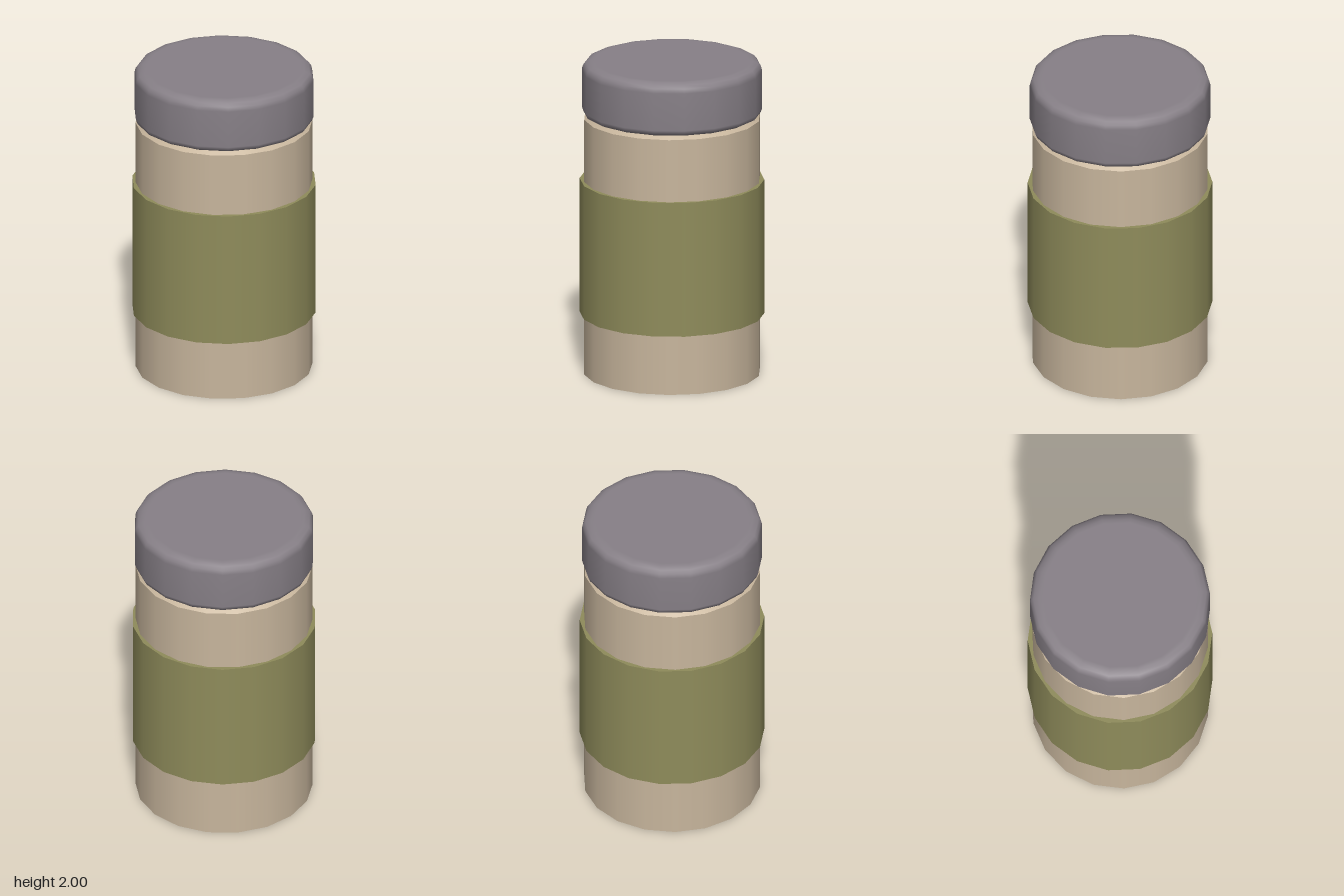
import * as THREE from 'three';
import { mergeGeometries } from 'three/addons/utils/BufferGeometryUtils.js';

const SIDES = 18;

// Lathe several profile runs; normals are smooth within a run, sharp between runs
function turned(name, material, phiStart, runs) {
  const parts = runs.map((run) => new THREE.LatheGeometry(
    run.map(([r, y]) => new THREE.Vector2(r, y)), SIDES, phiStart));
  const mesh = new THREE.Mesh(mergeGeometries(parts), material);
  mesh.name = name;
  return mesh;
}

function paint(name, color) {
  const material = new THREE.MeshStandardMaterial({ color });
  material.name = name;
  return material;
}

export function createModel() {
  const group = new THREE.Group();
  group.name = 'lidded jar';
  const tan = paint('tan', 0xc8b69d);
  const olive = paint('olive', 0x8f8c5b);
  const grey = paint('grey', 0x878087);

  // Body: flat base, straight wall, chamfered shoulder, top hidden by the lid
  group.add(turned('body', tan, Math.PI / 2, [
    [[0, 0], [0.55, 0]],
    [[0.55, 0], [0.55, 1.64]],
    [[0.55, 1.64], [0.52, 1.665]],
    [[0.52, 1.665], [0, 1.665]],
  ]));

  // Sleeve: band standing slightly proud of the body
  group.add(turned('sleeve', olive, 0, [
    [[0.53, 0.38], [0.573, 0.38]],
    [[0.573, 0.38], [0.573, 1.24]],
    [[0.573, 1.24], [0.53, 1.24]],
  ]));

  // Lid: rounded at the top and bottom rims
  group.add(turned('lid', grey, 0, [
    [[0, 1.663], [0.53, 1.663]],
    [[0.53, 1.663], [0.55, 1.673], [0.56, 1.7], [0.56, 1.94],
      [0.553, 1.968], [0.537, 1.988], [0.505, 2], [0.48, 2]],
    [[0.48, 2], [0, 2]],
  ]));

  return group;
}
